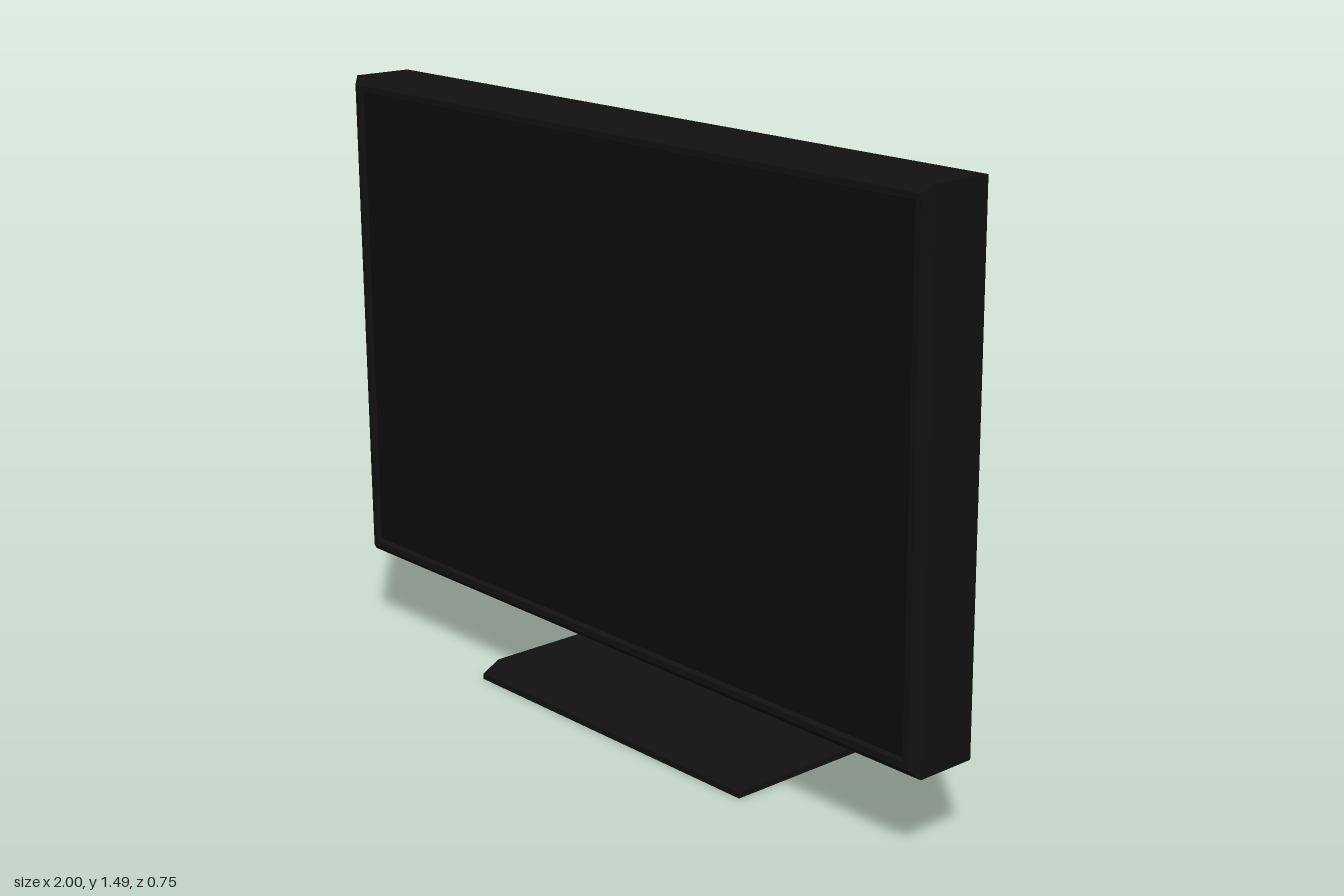
import * as THREE from 'three';

const plastic = new THREE.MeshStandardMaterial({ color: 0x111111 });
const glass = new THREE.MeshStandardMaterial({ color: 0x0c0c0c });

// Flat-shaded geometry from four-cornered faces
function fromQuads(quads) {
  const pos = [];
  for (const [a, b, c, d] of quads) pos.push(...a, ...b, ...c, ...a, ...c, ...d);
  const g = new THREE.BufferGeometry();
  g.setAttribute('position', new THREE.Float32BufferAttribute(pos, 3));
  g.computeVertexNormals();
  return g;
}

// Faces joining rectangles [x0, x1, y0, y1, z] stacked along +z; skip(ring, side) leaves one out
function loft(rects, skip = () => false) {
  const rings = rects.map(([x0, x1, y0, y1, z]) =>
    [[x0, y0, z], [x1, y0, z], [x1, y1, z], [x0, y1, z]]);
  const quads = [[...rings[0]].reverse(), rings[rings.length - 1]];
  for (let r = 0; r < rings.length - 1; r++) {
    for (let i = 0; i < 4; i++) {
      const j = (i + 1) % 4;
      if (!skip(r, i)) quads.push([rings[r][i], rings[r][j], rings[r + 1][j], rings[r + 1][i]]);
    }
  }
  return quads;
}

// Sloped upper back with horizontal vent grooves
function ventedSlope(top, bottom) {
  const lerp = THREE.MathUtils.lerp;
  const at = (u, v, d) => [
    lerp(top.x, bottom.x, v) * (1 - 2 * u),
    lerp(top.y, bottom.y, v) - 0.2 * d,
    lerp(top.z, bottom.z, v) + 0.98 * d,
  ];
  const rows = [0];
  for (let i = 0; i < 4; i++) rows.push(0.1 + i * 0.15, 0.17 + i * 0.15);
  rows.push(1);
  const cols = [0, 0.015, 0.985, 1];
  const quads = [];
  for (let r = 0; r < rows.length - 1; r++) {
    for (let c = 0; c < 3; c++) {
      const corners = [[cols[c], rows[r]], [cols[c], rows[r + 1]],
        [cols[c + 1], rows[r + 1]], [cols[c + 1], rows[r]]];
      const groove = r % 2 === 1 && c === 1;
      const rim = corners.map(([u, v]) => at(u, v, 0));
      const floor = corners.map(([u, v]) => at(u, v, groove ? 0.015 : 0));
      quads.push(floor);
      if (groove) {
        for (let i = 0; i < 4; i++) {
          const j = (i + 1) % 4;
          quads.push([rim[i], rim[j], floor[j], floor[i]]);
        }
      }
    }
  }
  return quads;
}

export function createModel() {
  const group = new THREE.Group();
  const add = (name, geometry, material = plastic) => {
    const mesh = new THREE.Mesh(geometry, material);
    mesh.name = name;
    group.add(mesh);
    return mesh;
  };

  // Display housing: tapered back, straight rim, chamfered bezel, recessed front
  const inset = (d, z) => [-1 + d, 1 - d, 0.21 + d, 1.485 - d, z];
  const housing = loft([
    [-0.915, 0.915, 0.665, 1.07, 0.095],
    inset(0, 0.18), inset(0, 0.335), inset(0.02, 0.355),
    inset(0.035, 0.355), inset(0.04, 0.343),
  ], (ring, side) => ring === 0 && side === 2);
  add('displayHousing', fromQuads(housing));
  add('backVents', fromQuads(ventedSlope({ x: 1, y: 1.485, z: 0.18 }, { x: 0.915, y: 1.07, z: 0.095 })));

  // Screen
  add('screen', new THREE.PlaneGeometry(1.92, 1.195), glass).position.set(0, 0.8475, 0.344);

  // Neck joining the display to the column
  add('neck', new THREE.BoxGeometry(0.38, 0.285, 0.115)).position.set(0, 0.8675, 0.0425);

  // Column: square front half
  add('columnFront', new THREE.BoxGeometry(0.46, 0.98, 0.1)).position.set(0, 0.55, -0.05);

  // Column: back half with chamfered corners, a centre seam and a sloped top
  const outline = [[-0.23, 0.1], [0.23, 0.1], [0.23, 0.165], [0.195, 0.2], [0.005, 0.2],
    [0.005, 0.19], [-0.005, 0.19], [-0.005, 0.2], [-0.195, 0.2], [-0.23, 0.165]];
  const back = new THREE.ExtrudeGeometry(
    new THREE.Shape(outline.map(([x, y]) => new THREE.Vector2(x, y))),
    { depth: 0.98, bevelEnabled: false });
  back.rotateX(-Math.PI / 2).translate(0, 0.06, 0);
  const p = back.attributes.position;
  for (let i = 0; i < p.count; i++) {
    if (p.getY(i) > 0.5) p.setY(i, 1.04 + (p.getZ(i) + 0.1) * 1.05);
  }
  back.computeVertexNormals();
  add('columnBack', back);

  // Base plate: vertical edge, chamfer, then a shallow rise to the column
  const base = fromQuads(loft([
    [-0.48, 0.48, -0.375, 0.375, 0],
    [-0.48, 0.48, -0.375, 0.375, 0.015],
    [-0.455, 0.455, -0.345, 0.345, 0.053],
    [-0.23, 0.23, 0, 0.2, 0.07],
  ]));
  add('base', base.rotateX(-Math.PI / 2));

  return group;
}
